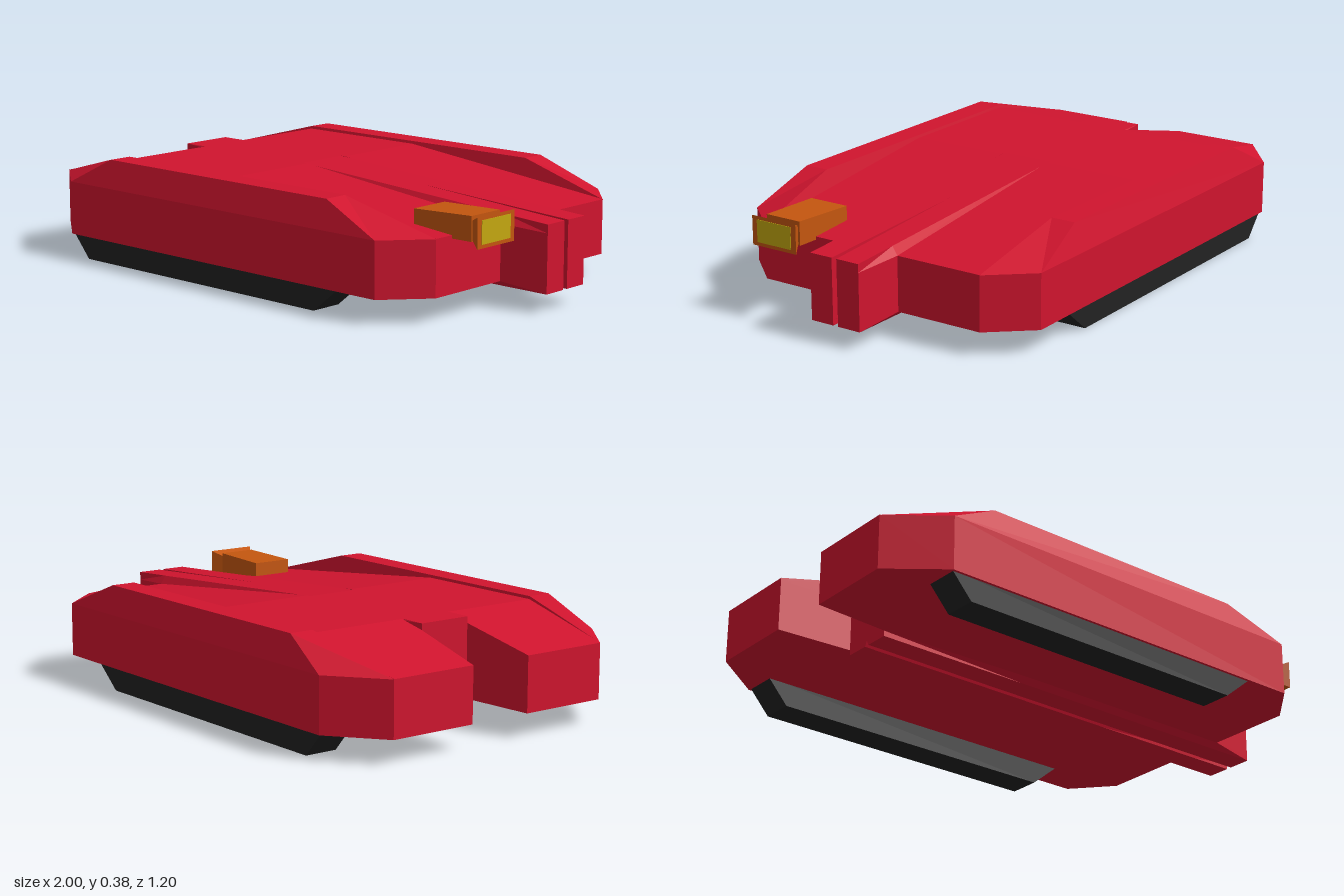
import * as THREE from 'three';

const paint = (color) => new THREE.MeshStandardMaterial({ color, flatShading: true });
const red = paint(0xd0142e), black = paint(0x222222), orange = paint(0xc4560f), yellow = paint(0xc4a810);

// Closed solid through loops of [x, y, z] corners, capped at both ends and wound outward
function loft(loops) {
  const n = loops[0].length, tris = [];
  for (let s = 0; s + 1 < loops.length; s++) {
    for (let i = 0; i < n; i++) {
      const j = (i + 1) % n, a = loops[s], b = loops[s + 1];
      tris.push([a[i], b[i], b[j]], [a[i], b[j], a[j]]);
    }
  }
  const first = loops[0], last = loops[loops.length - 1];
  for (let i = 1; i + 1 < n; i++) {
    tris.push([first[0], first[i], first[i + 1]], [last[0], last[i + 1], last[i]]);
  }
  const v = (p) => new THREE.Vector3(...p);
  const c = v(first[0]);
  let volume = 0;
  for (const [p, q, r] of tris) volume += v(p).sub(c).dot(v(q).sub(c).cross(v(r).sub(c)));
  if (volume < 0) tris.forEach((t) => t.reverse());
  const g = new THREE.BufferGeometry();
  g.setAttribute('position', new THREE.Float32BufferAttribute(tris.flat(2), 3));
  g.computeVertexNormals();
  return g;
}

export function createModel() {
  const model = new THREE.Group();
  const add = (name, geometry, material) => {
    const mesh = new THREE.Mesh(geometry, material);
    mesh.name = name;
    model.add(mesh);
    return mesh;
  };

  // Hull: chamfered plan with a notch at one end
  const half = [[-0.72, 0.1], [-1, 0.12], [-1, 0.45], [-0.81, 0.6], [0.69, 0.6], [0.82, 0.45]];
  const plan = [...half, ...half.map(([x, z]) => [x, -z]).reverse()];
  const hull = new THREE.ExtrudeGeometry(
    new THREE.Shape(plan.map(([x, z]) => new THREE.Vector2(x, -z))),
    { depth: 0.195, bevelEnabled: false });
  hull.rotateX(-Math.PI / 2).translate(0, 0.085, 0);
  add('hull', hull, red);

  for (const [side, m] of [['left', -1], ['right', 1]].map(([s, k]) => [k < 0 ? 'back' : 'front', k])) {
    // Sloping deck beside the spine: x, top height, inner z, outer z
    add(side + 'Deck', loft([
      [-1, 0.281, 0.12, 0.45], [-0.72, 0.347, 0.1, 0.472], [-0.62, 0.37, 0.1, 0.48],
      [-0.09, 0.37, 0.1, 0.48], [0.82, 0.281, 0.1, 0.45],
    ].map(([x, y, a, b]) => [[x, y, a * m], [x, y, b * m], [x, 0.27, b * m], [x, 0.27, a * m]])), red);

    // Raised ridge along the outer edge
    const level = (y, pts) => pts.map(([x, z]) => [x, y, z * m]);
    add(side + 'Ridge', loft([
      level(0.28, [[-1, 0.45], [-0.81, 0.6], [0.69, 0.6], [0.82, 0.45]]),
      level(0.38, [[-0.62, 0.48], [-0.62, 0.57], [0.45, 0.57], [0.45, 0.48]]),
    ]), red);

    // Half of the central spine: x, top height, half width, prong gap
    add(side + 'Spine', loft([
      [-0.72, 0.37, 0.1, 0], [-0.11, 0.37, 0.12, 0], [0.36, 0.34, 0.12, 0],
      [0.82, 0.311, 0.12, 0.007], [1, 0.3, 0.1, 0.01],
    ].map(([x, t, w, g]) => [
      [x, t, g * m], [x, t, 0.1 * m], [x, t - 0.03, w * m], [x, 0.085, w * m],
      [x, 0.065, 0.1 * m], [x, 0.065, 0.01 * m], [x, 0.085, g * m],
    ])), red);

    // Track
    add(side + 'Track', loft([0.47, 0.59].map((z) => [
      [-0.81, 0.09, z * m], [-0.73, 0, z * m], [0.41, 0, z * m], [0.52, 0.09, z * m],
    ])), black);
  }

  // Cannon with a flared muzzle: rectangular sections x, y0, y1, z0, z1
  const box = ([x, y0, y1, z0, z1]) => [[x, y0, z0], [x, y1, z0], [x, y1, z1], [x, y0, z1]];
  add('cannonBarrel', loft([
    [0.66, 0.27, 0.348, 0.22, 0.375], [0.9, 0.27, 0.355, 0.227, 0.37],
  ].map(box)), orange);
  add('cannonMuzzle', loft([
    [0.9, 0.275, 0.34, 0.235, 0.365], [0.945, 0.255, 0.36, 0.207, 0.395],
  ].map(box)), orange);
  add('muzzlePanel', loft([
    [0.93, 0.268, 0.348, 0.228, 0.374], [0.947, 0.268, 0.348, 0.228, 0.374],
  ].map(box)), yellow);

  return model;
}
